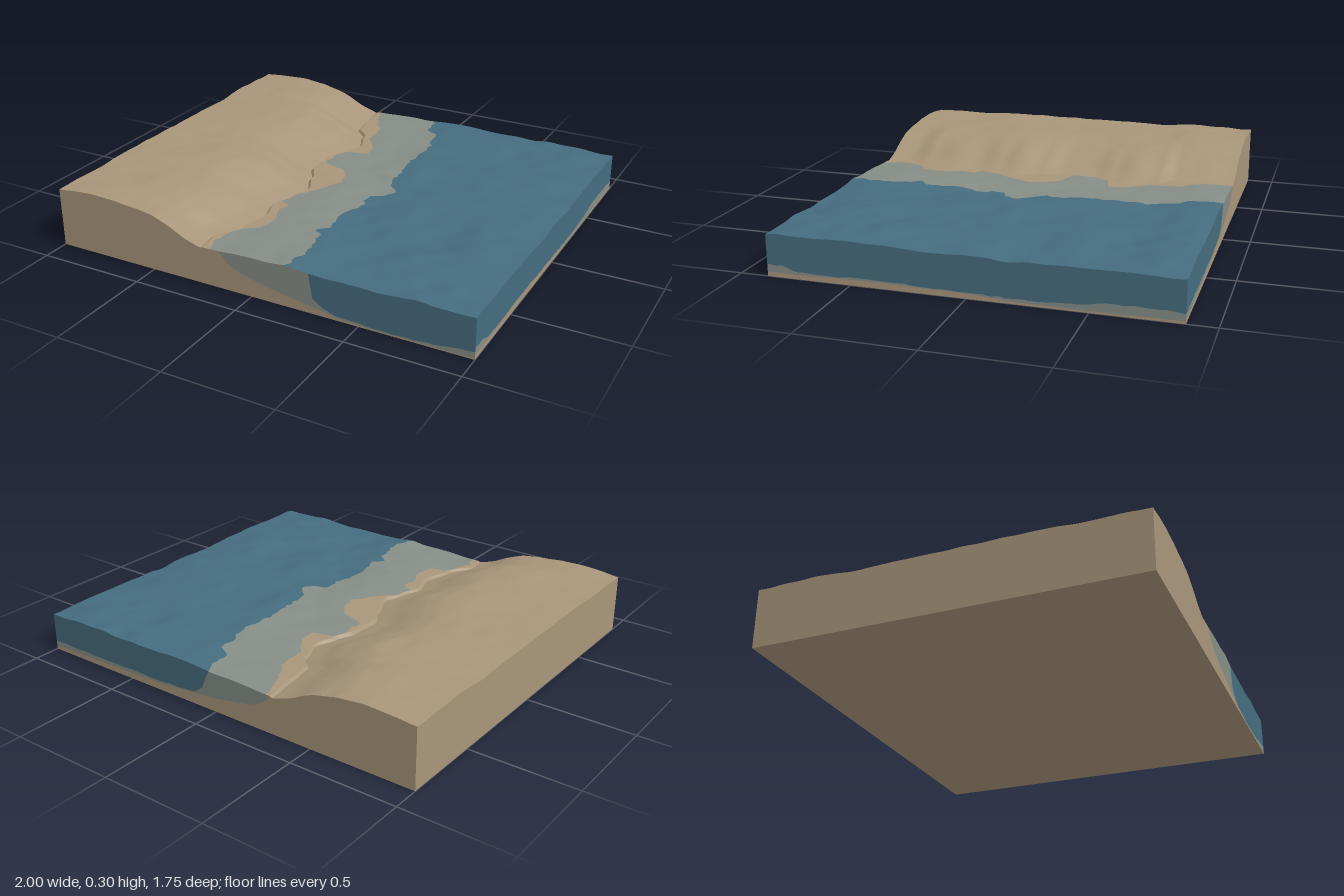
import * as THREE from 'three';

const X = 1, Z = 0.875;
const mat = (name, color) => {
  const m = new THREE.MeshStandardMaterial({ color });
  m.name = name;
  return m;
};
const sand = mat('sand', 0xa8957a);
const shallow = mat('shallow water', 0x858d86);
const deep = mat('deep water', 0x456c7e);

// Interpolates a list of [position, value] points
function curve(points, eased = false) {
  return t => {
    if (t <= points[0][0]) return points[0][1];
    for (let i = 1; i < points.length; i++) {
      const [a, va] = points[i - 1], [b, vb] = points[i];
      if (t <= b) {
        let k = (t - a) / (b - a);
        if (eased) k = k * k * (3 - 2 * k);
        return va + (vb - va) * k;
      }
    }
    return points[points.length - 1][1];
  };
}

// Smooth seeded value noise, -1 to 1
function hash(i, j) {
  const s = Math.sin(i * 127.1 + j * 311.7) * 43758.5453;
  return (s - Math.floor(s)) * 2 - 1;
}
function noise(x, y) {
  const i = Math.floor(x), j = Math.floor(y);
  let u = x - i, v = y - j;
  u = u * u * (3 - 2 * u);
  v = v * v * (3 - 2 * v);
  const l = THREE.MathUtils.lerp;
  return l(l(hash(i, j), hash(i + 1, j), u), l(hash(i, j + 1), hash(i + 1, j + 1), u), v);
}
const relief = (x, z) => 0.65 * noise(x * 5, z * 5) + 0.35 * noise(x * 12 + 9, z * 12);

// Plan outlines: x of each boundary along z
const shore = curve([[-0.875, -0.31], [-0.7, -0.29], [-0.6, -0.275], [-0.52, -0.21], [-0.4, -0.17],
  [-0.3, -0.2], [-0.2, -0.235], [-0.05, -0.24], [0.05, -0.19], [0.18, -0.14], [0.28, -0.17],
  [0.38, -0.2], [0.5, -0.17], [0.65, -0.2], [0.78, -0.26], [0.875, -0.25]], true);
const wetSand = curve([[-0.875, -0.28], [-0.7, -0.22], [-0.65, -0.18], [-0.5, -0.16], [-0.42, -0.1],
  [-0.32, -0.08], [-0.29, -0.2], [-0.12, -0.2], [-0.08, -0.09], [-0.02, -0.04], [0.06, -0.025],
  [0.13, -0.06], [0.22, -0.12], [0.25, -0.19], [0.33, -0.2], [0.36, -0.12], [0.45, -0.13],
  [0.52, -0.1], [0.62, -0.11], [0.65, -0.18], [0.8, -0.23], [0.875, -0.2]]);
const deepLine = curve([[-0.875, 0.04], [-0.72, 0.07], [-0.69, 0.13], [-0.6, 0.14], [-0.52, 0.17],
  [-0.28, 0.155], [-0.15, 0.18], [-0.05, 0.18], [0, 0.23], [0.04, 0.25], [0.09, 0.22], [0.11, 0.15],
  [0.2, 0.17], [0.35, 0.14], [0.5, 0.16], [0.55, 0.12], [0.58, 0.16], [0.75, 0.2], [0.875, 0.165]]);
const shoreEnd = z => shore(z) + 0.012;
const wetEnd = z => Math.max(shoreEnd(z) + 0.004, wetSand(z) + 0.008 * noise(z * 40, 3));
const deepStart = z => deepLine(z) + 0.01 * noise(z * 40, 7);

// Heights of the dune and of the rippled water
const duneProfile = curve([[0, 0.168], [0.08, 0.192], [0.16, 0.228], [0.24, 0.259], [0.32, 0.278],
  [0.45, 0.287], [0.6, 0.284], [0.9, 0.274]]);
const bump = (x, z, cz) => Math.exp(-((x + 0.55) ** 2) / 0.05 - (z - cz) ** 2 / 0.015);
function landY(x, z) {
  const d = Math.max(0, shore(z) - x);
  return duneProfile(d) + 0.009 * Math.min(1, d * 6) * relief(x, z)
    + 0.012 * (bump(x, z, 0.33) + bump(x, z, -0.63));
}
function waterY(x, z) {
  const edge = Math.max(0, 1 - Math.min(X - x, Z - Math.abs(z)) / 0.15);
  const out = Math.min(1, Math.max(0, x - shoreEnd(z)) / 0.4);
  return 0.181 + 0.009 * out - 0.007 * edge + (0.005 + 0.009 * out) * relief(x + 20, z);
}
const topY = (x, z) => (x <= shore(z) ? landY(x, z) : waterY(x, z));

// Skins a grid of points; bands = [[column count, material], ...]
function sheet(name, rows, bands) {
  const n = rows[0].length, index = [];
  const geo = new THREE.BufferGeometry();
  geo.setAttribute('position', new THREE.Float32BufferAttribute(rows.flat(2), 3));
  let col = 0;
  bands.forEach(([count], m) => {
    const start = index.length;
    for (let j = col; j < col + count; j++) {
      for (let i = 0; i < rows.length - 1; i++) {
        const a = i * n + j, c = a + n;
        index.push(a, c, a + 1, a + 1, c, c + 1);
      }
    }
    geo.addGroup(start, index.length - start, m);
    col += count;
  });
  geo.setIndex(index);
  geo.computeVertexNormals();
  const mesh = new THREE.Mesh(geo, bands.map(b => b[1]));
  mesh.name = name;
  return mesh;
}

// Splits the spans between stops into steps
function spread(stops, counts) {
  const out = [stops[0]];
  counts.forEach((c, s) => {
    for (let k = 1; k <= c; k++) out.push(stops[s] + (stops[s + 1] - stops[s]) * k / c);
  });
  return out;
}

// Layered side wall running along a line of [x, z] points
function wall(name, line, sandTop, shallowTop) {
  const rows = line.map(([x, z]) => {
    const top = topY(x, z);
    const s = Math.min(top, sandTop(x, z));
    const w = Math.min(top, Math.max(s, shallowTop(x, z)));
    return [[x, 0, z], [x, s, z], [x, w, z], [x, top, z]];
  });
  return sheet(name, rows, [[1, sand], [1, shallow], [1, deep]]);
}

export function createModel() {
  const group = new THREE.Group();
  group.name = 'coastTile';
  const zs = spread([-Z, Z], [150]);
  const landXs = z => spread([-X, shore(z)], [45]);
  const waterStops = z => [shoreEnd(z), wetEnd(z), deepStart(z), X];
  const waterXs = z => spread(waterStops(z), [5, 16, 45]);

  // Dune surface
  group.add(sheet('dune', zs.map(z => landXs(z).map(x => [x, landY(x, z), z])), [[45, sand]]));
  // Small bank along the waterline
  group.add(sheet('shoreBank', zs.map(z => {
    const a = shore(z), b = shoreEnd(z);
    return [[a, landY(a, z), z], [b, waterY(b, z), z]];
  }), [[1, sand]]));
  // Wet sand, shallow and deep water surface
  group.add(sheet('waterSurface', zs.map(z => waterXs(z).map(x => [x, waterY(x, z), z])),
    [[5, sand], [16, shallow], [45, deep]]));

  // Cut faces of the ground and water layers
  const seabed = curve([[-0.17, 1], [-0.15, 0.17], [-0.12, 0.13], [-0.05, 0.095], [0.1, 0.062],
    [0.3, 0.03], [0.42, 0.01], [0.6, 0.004], [1, 0.006]]);
  const deepBed = curve([[0.262, 1], [0.275, 0.17], [0.28, 0.08], [0.33, 0.045], [0.4, 0.02],
    [0.6, 0.011], [0.8, 0.014], [0.9, 0.026], [1, 0.034]]);
  const backSeabed = curve([[-0.31, 1], [-0.29, 0.15], [-0.2, 0.1], [0, 0.065], [0.3, 0.035], [1, 0.015]]);
  const backDeepBed = curve([[0.035, 1], [0.05, 0.17], [0.06, 0.1], [0.12, 0.06], [0.3, 0.045], [1, 0.042]]);
  const sideSand = curve([[-0.875, 0.012], [-0.5, 0.008], [-0.2, 0.01], [0, 0.022], [0.4, 0.026],
    [0.7, 0.02], [0.875, 0.02]]);
  const sideBed = curve([[-0.875, 0.042], [-0.7, 0.05], [-0.55, 0.045], [-0.45, 0.028], [-0.2, 0.022],
    [0.1, 0.028], [0.4, 0.036], [0.6, 0.03], [0.75, 0.034], [0.8, 0.05], [0.875, 0.055]]);
  const edgeXs = z => [...landXs(z), ...waterXs(z)];
  const wobble = t => 0.003 * noise(t * 30, 5);
  const full = () => 1;
  group.add(wall('frontWall', edgeXs(Z).map(x => [x, Z]), seabed, x => deepBed(x) + wobble(x)));
  group.add(wall('backWall', edgeXs(-Z).reverse().map(x => [x, -Z]), backSeabed,
    x => backDeepBed(x) + wobble(x)));
  group.add(wall('rightWall', [...zs].reverse().map(z => [X, z]), (x, z) => sideSand(z),
    (x, z) => sideBed(z) + wobble(z)));
  group.add(wall('leftWall', zs.map(z => [-X, z]), full, full));

  // Flat underside
  group.add(sheet('underside', [-X, X].map(x => [-Z, Z].map(z => [x, 0, z])), [[1, sand]]));
  return group;
}
